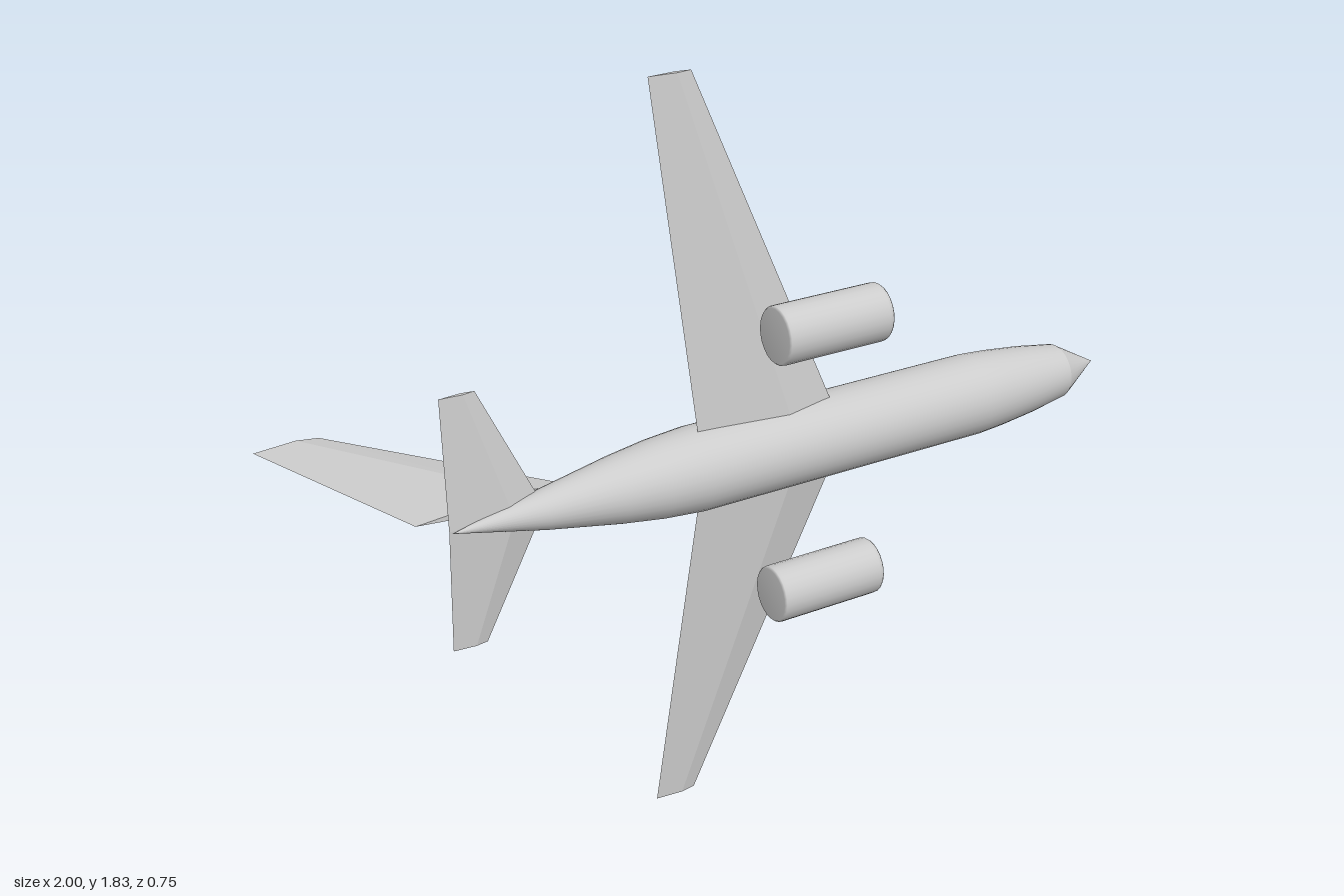
import * as THREE from 'three';

const AXIS_Y = 0.915, AXIS_Z = 0.21;

export function createModel() {
  const grey = new THREE.MeshStandardMaterial({ color: 0xcccccc });
  grey.name = 'light grey';
  const plane = new THREE.Group();
  plane.name = 'airliner';

  function add(name, geometry, parent = plane) {
    const mesh = new THREE.Mesh(geometry, grey);
    mesh.name = name;
    parent.add(mesh);
    return mesh;
  }

  // Turned body along +x from [x, radius] pairs, tail first
  function turned(profile, segments = 32) {
    const pts = profile.map(([x, r]) => new THREE.Vector2(r, x));
    return new THREE.LatheGeometry(pts, segments).rotateZ(-Math.PI / 2);
  }

  // Tapered flat-sided blade with a diamond section; spans along y
  function blade(root, tip) {
    const section = ({ lead, trail, y, z, t }) => {
      const ridge = lead + (trail - lead) * 0.35;
      return [[lead, y, z], [ridge, y, z - t / 2], [trail, y, z], [ridge, y, z + t / 2]];
    };
    const a = section(root), b = section(tip);
    const flip = tip.y < root.y;
    const pos = [];
    const quad = (p, q, r, s) => {
      const c = flip ? [p, r, q, p, s, r] : [p, q, r, p, r, s];
      c.forEach((v) => pos.push(...v));
    };
    for (let i = 0; i < 4; i++) {
      const j = (i + 1) % 4;
      quad(a[i], a[j], b[j], b[i]);
    }
    quad(...b);
    quad(...a.slice().reverse());
    const g = new THREE.BufferGeometry();
    g.setAttribute('position', new THREE.Float32BufferAttribute(pos, 3));
    g.computeVertexNormals();
    return g;
  }

  // Fuselage and pointed nose
  const body = [[-0.765, 0], [-0.55, 0.046], [-0.37, 0.078], [-0.27, 0.092], [-0.17, 0.1],
    [0.61, 0.1], [0.68, 0.095], [0.78, 0.084], [0.88, 0.068]];
  add('fuselage', turned(body)).position.set(0, AXIS_Y, AXIS_Z);
  add('nose', turned([[0.88, 0.068], [1, 0]])).position.set(0, AXIS_Y, AXIS_Z);

  // Wings, tailplanes and engines, mirrored about the fuselage axis
  for (const [side, s] of [['left', -1], ['right', 1]]) {
    add(side + 'Wing', blade(
      { lead: 0.232, trail: -0.155, y: 0, z: 0.233, t: 0.046 },
      { lead: -0.14, trail: -0.245, y: s * 0.915, z: 0.16, t: 0.012 }
    )).position.y = AXIS_Y;

    add(side + 'Tailplane', blade(
      { lead: -0.54, trail: -0.768, y: 0, z: 0.2, t: 0.03 },
      { lead: -0.685, trail: -0.768, y: s * 0.308, z: 0.184, t: 0.01 }
    )).position.y = AXIS_Y;

    const engine = add(side + 'Engine', turned([
      [-0.14, 0], [-0.14, 0.93], [-0.135, 0.99], [-0.128, 1],
      [0.128, 1], [0.135, 0.99], [0.14, 0.93], [0.14, 0]], 24));
    engine.scale.set(1, 0.069, 0.065);
    engine.position.set(0.125, AXIS_Y + s * 0.329, 0.306);
  }

  // Swept fin, turned so its span runs toward -z
  const fin = add('tailFin', blade(
    { lead: -0.44, trail: -0.82, y: -0.14, z: 0, t: 0.042 },
    { lead: -0.84, trail: -1, y: 0.375, z: 0, t: 0.014 }
  ));
  fin.rotation.x = -Math.PI / 2;
  fin.position.y = AXIS_Y;

  return plane;
}
